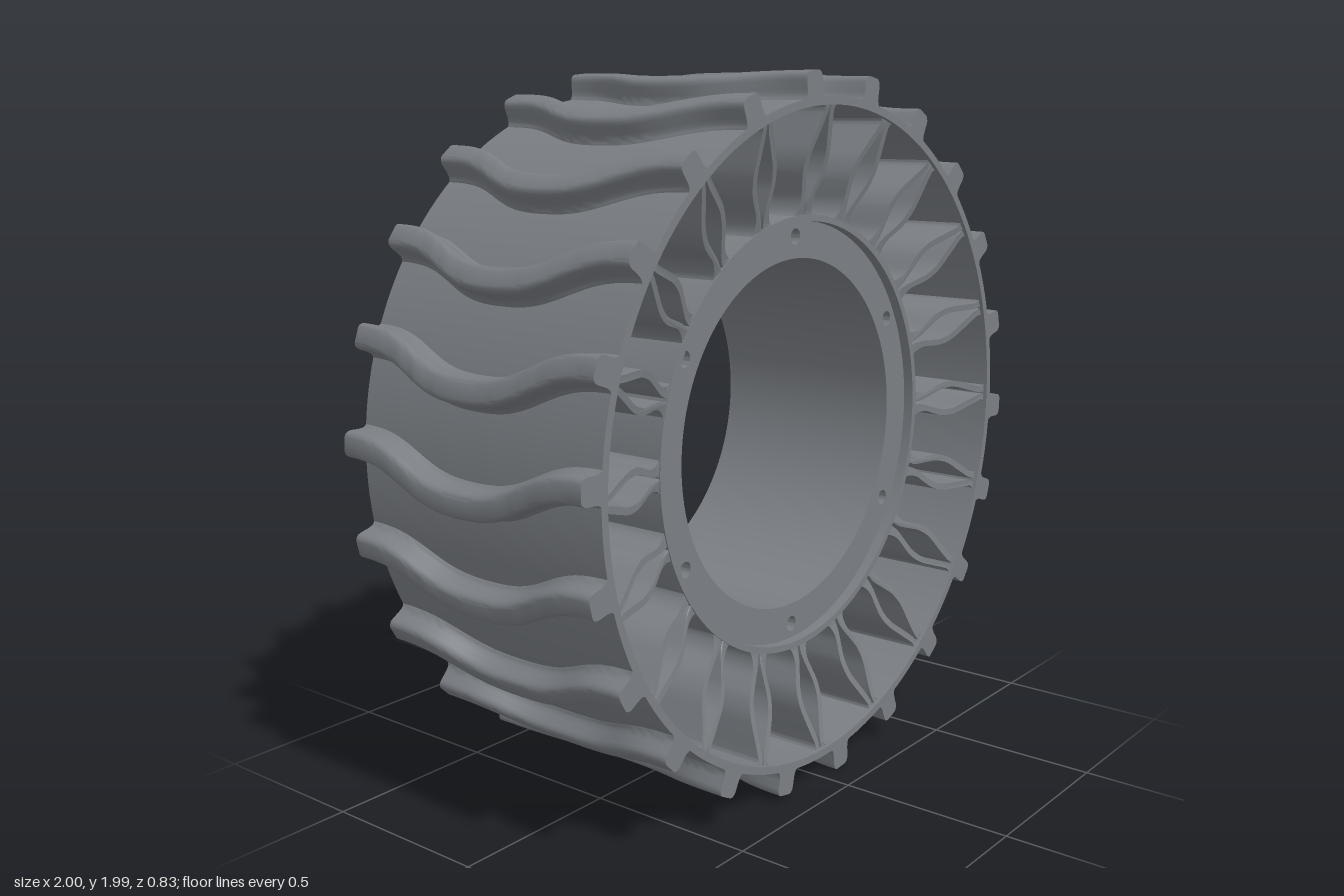
import * as THREE from 'three';
import { toCreasedNormals } from 'three/addons/utils/BufferGeometryUtils.js';

const HALF = 0.415; // half width of the tread band
const HUB = 0.325; // half width of the hub
const rubber = new THREE.MeshStandardMaterial({ color: 0x7a7e83 });
rubber.name = 'grey';

function mesh(name, geometry, crease = 0.6) {
  const m = new THREE.Mesh(toCreasedNormals(geometry, crease), rubber);
  m.name = name;
  return m;
}

// Flat shape extruded along the axle between z0 and z1
function extrude(shape, z0, z1, segments) {
  const g = new THREE.ExtrudeGeometry(shape, { depth: z1 - z0, bevelEnabled: false, curveSegments: segments });
  return g.translate(0, 0, z0);
}

function ring(outer, inner, z0, z1, bolts = 0) {
  const shape = new THREE.Shape().absarc(0, 0, outer, 0, Math.PI * 2, false);
  shape.holes.push(new THREE.Path().absarc(0, 0, inner, 0, Math.PI * 2, true));
  for (let i = 0; i < bolts; i++) {
    const a = Math.PI / 2 + (i / bolts) * Math.PI * 2;
    shape.holes.push(new THREE.Path().absarc(0.555 * Math.cos(a), 0.555 * Math.sin(a), 0.022, 0, Math.PI * 2, true));
  }
  return extrude(shape, z0, z1, 120);
}

// One bowed spoke blade with flared feet, lying along +x; side = 1 or -1
function bladeGeometry(side) {
  const curve = (pts) => new THREE.SplineCurve(pts.map(([r, o]) => new THREE.Vector2(r, o * side))).getPoints(32);
  const outer = curve([[0.6, 0.06], [0.622, 0.036], [0.66, 0.03], [0.7, 0.043], [0.735, 0.053], [0.78, 0.053], [0.83, 0.04], [0.88, 0.025], [0.9, 0.022], [0.918, 0.034]]);
  const inner = curve([[0.6, 0.004], [0.64, 0.006], [0.665, 0.012], [0.7, 0.024], [0.735, 0.034], [0.78, 0.034], [0.83, 0.02], [0.88, 0.006], [0.918, 0.003]]);
  const g = extrude(new THREE.Shape([...outer, ...inner.reverse()]), -1, 1, 1);
  // Widen the blade from the narrow hub to the wide band
  const p = g.attributes.position;
  for (let i = 0; i < p.count; i++) {
    const t = THREE.MathUtils.clamp((p.getX(i) - 0.615) / 0.295, 0, 1);
    p.setZ(i, p.getZ(i) * THREE.MathUtils.lerp(HUB - 0.005, HALF - 0.01, t));
  }
  return g;
}

// Wavy tread bar: a rounded cross-section swept across the width
function treadGeometry() {
  const half = [[0.052, 0.922], [0.05, 0.929], [0.043, 0.934], [0.039, 0.942], [0.037, 0.955], [0.036, 0.978], [0.034, 0.988], [0.028, 0.996], [0.02, 0.999]];
  const profile = [...half.map(([s, r]) => [-s, r]), ...half.slice().reverse()];
  const n = profile.length, rows = 40, pos = [], index = [];
  const put = (s, r, z) => {
    const c = Math.cos((Math.PI * z) / HALF);
    const a = s + 0.05 * (1.3 * c - 0.3 * c ** 3);
    pos.push(r * Math.cos(a), r * Math.sin(a), z);
  };
  for (let j = 0; j <= rows; j++) {
    const z = -HALF + (2 * HALF * j) / rows;
    for (const [s, r] of profile) put(s, r, z);
  }
  for (let j = 0; j < rows; j++) {
    for (let i = 0; i < n - 1; i++) {
      const a = j * n + i, b = a + n;
      index.push(a, a + 1, b + 1, a, b + 1, b);
    }
  }
  // End caps
  const back = pos.length / 3, front = back + 1, last = rows * n;
  put(0, 0.922, -HALF);
  put(0, 0.922, HALF);
  for (let i = 0; i < n - 1; i++) {
    index.push(back, i + 1, i, front, last + i, last + i + 1);
  }
  const g = new THREE.BufferGeometry();
  g.setAttribute('position', new THREE.Float32BufferAttribute(pos, 3));
  g.setIndex(index);
  return g;
}

// Repeats one part evenly around the axle
function around(name, template, count) {
  const group = new THREE.Group();
  group.name = name + 's';
  for (let i = 0; i < count; i++) {
    const copy = template.clone();
    copy.rotation.z = (i / count) * Math.PI * 2;
    group.add(copy);
  }
  return group;
}

export function createModel() {
  const model = new THREE.Group();
  model.name = 'airlessWheel';
  const wheel = new THREE.Group();
  wheel.name = 'wheel';
  wheel.position.y = 1;
  model.add(wheel);

  // Hub, narrower than the band, with a recessed front flange and a step at the back
  const hub = new THREE.Group();
  hub.name = 'hub';
  hub.add(
    mesh('hubFrontRim', ring(0.615, 0.597, HUB - 0.03, HUB)),
    mesh('hubBody', ring(0.615, 0.495, 0.03 - HUB, HUB - 0.03, 6)),
    mesh('hubBackFlange', ring(0.615, 0.52, -HUB, 0.03 - HUB, 6)),
  );
  wheel.add(hub);

  // Outer band
  wheel.add(mesh('outerBand', ring(0.93, 0.908, -HALF, HALF)));

  // Paired flexible spokes
  const spoke = new THREE.Group();
  spoke.name = 'spoke';
  spoke.add(mesh('spokeBladeLeft', bladeGeometry(1)), mesh('spokeBladeRight', bladeGeometry(-1)));
  wheel.add(around('spoke', spoke, 20));

  // Tread bars
  wheel.add(around('treadBar', mesh('treadBar', treadGeometry(), 0.9), 22));

  return model;
}
